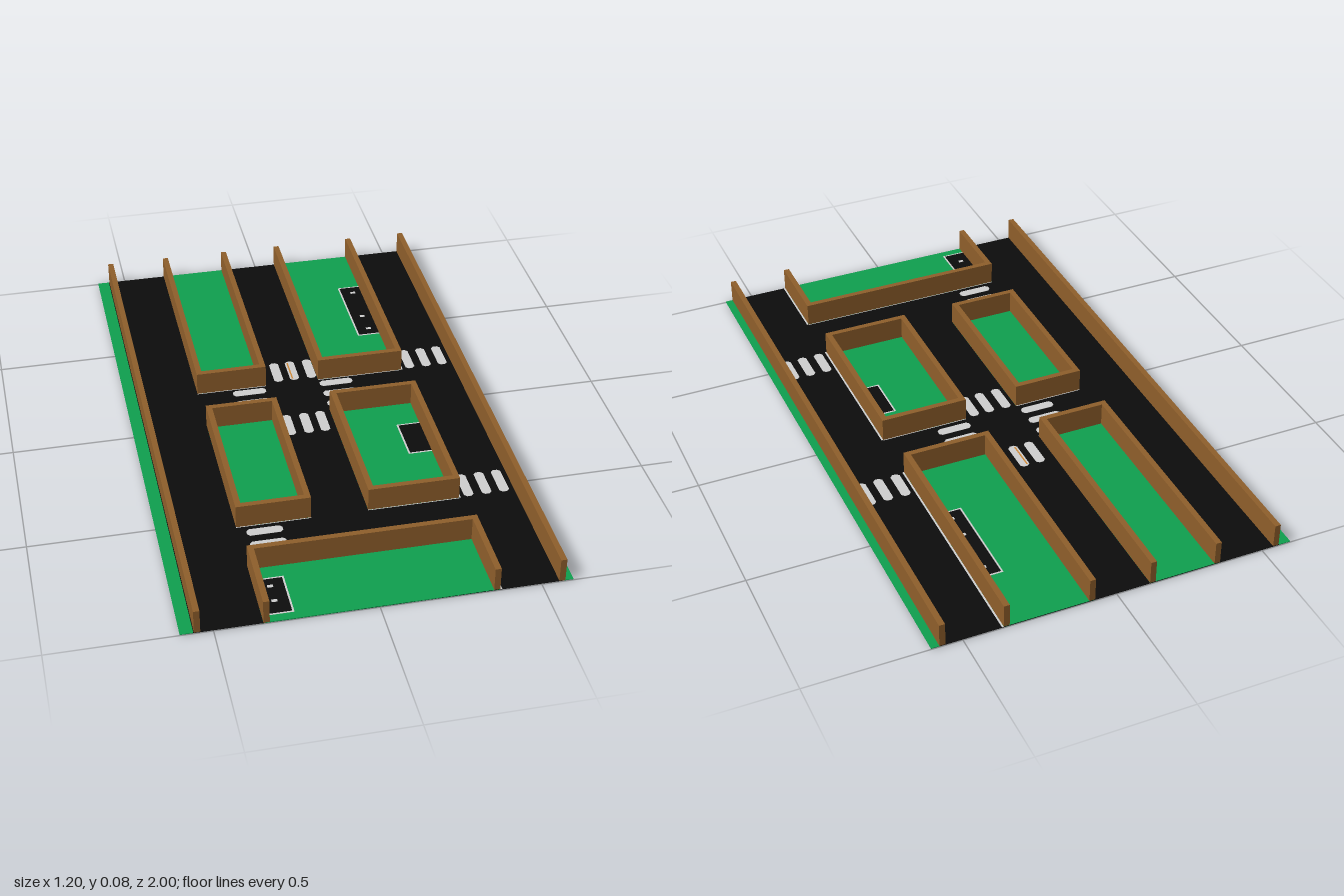
import * as THREE from 'three';

export function createModel() {
  const model = new THREE.Group();
  const mat = (name, color) => {
    const m = new THREE.MeshStandardMaterial({ color });
    m.name = name;
    return m;
  };
  const asphalt = mat('asphalt', 0x0c0c0c);
  const grass = mat('grass', 0x0fa04f);
  const brown = mat('wall brown', 0x8f5f2b);
  const paint = mat('road paint', 0xcfcfcf);
  const orange = mat('orange paint', 0xd08a3a);
  const MID = 0.003, TOP = 0.083, T = 0.019;

  const box = (name, material, x0, x1, y0, y1, z0, z1) => {
    const mesh = new THREE.Mesh(new THREE.BoxGeometry(x1 - x0, y1 - y0, z1 - z0), material);
    mesh.position.set((x0 + x1) / 2, (y0 + y1) / 2, (z0 + z1) / 2);
    mesh.name = name;
    model.add(mesh);
    return mesh;
  };
  // Thin plate around the ground plane; thicker plates show over thinner ones on both sides
  const plate = (name, material, half, x0, x1, z0, z1) =>
    box(name, material, x0, x1, MID - half, MID + half, z0, z1);
  const wall = (name, x0, x1, z0, z1) => box(name, brown, x0, x1, MID, TOP, z0, z1);

  // Road and side verges
  plate('road', asphalt, 0.001, -0.56, 0.57, -1, 1);
  plate('rightVerge', grass, 0.001, -0.6, -0.56, -1, 1);
  plate('leftVerge', grass, 0.001, 0.57, 0.6, -1, 1);
  wall('rightOuterWall', -0.558, -0.539, -1, 1);
  wall('leftOuterWall', 0.555, 0.574, -1, 1);

  // Walled lawns; those at the map border stay open there
  const lawns = [
    [-0.352, -0.112, -1, -0.203],
    [0.072, 0.37, -1, -0.203],
    [-0.352, -0.112, -0.016, 0.545],
    [0.072, 0.37, -0.016, 0.545],
    [-0.352, 0.37, 0.735, 1],
  ];
  for (const [x0, x1, z0, z1] of lawns) {
    plate('lawn', grass, 0.0015, x0, x1, z0, z1);
    wall('lawnSideWall', x0, x0 + T, z0, z1);
    wall('lawnSideWall', x1 - T, x1, z0, z1);
    if (z0 > -1) wall('lawnBackWall', x0 + T, x1 - T, z0, z0 + T);
    if (z1 < 1) wall('lawnFrontWall', x0 + T, x1 - T, z1 - T, z1);
    // Pale kerb lines
    const k = 0.006;
    if (x1 > 0.3) plate('kerbLine', paint, 0.0012, x1, x1 + k, z0, z1);
    if (z0 > -1) plate('kerbLine', paint, 0.0012, x0, x1, z0 - k / 2, z0);
    if (z1 < 1) plate('kerbLine', paint, 0.0012, x0, x1, z1, z1 + k / 2);
  }

  // Parking lots with pale borders and small marks
  const lots = [
    [0.272, 0.351, -0.778, -0.445, [[0.32, -0.735], [0.317, -0.57], [0.32, -0.485]]],
    [0.272, 0.351, 0.118, 0.285, []],
    [-0.333, -0.253, 0.805, 0.972, [[-0.302, 0.845], [-0.302, 0.912]]],
  ];
  for (const [x0, x1, z0, z1, marks] of lots) {
    plate('parkingBorder', paint, 0.002, x0, x1, z0, z1);
    const b = 0.006, left = x0 > 0;
    plate('parkingLot', asphalt, 0.0025, left ? x0 + b : x0, left ? x1 : x1 - b, z0 + b, z1 - b);
    for (const [x, z] of marks) plate('parkingMark', paint, 0.003, x - 0.009, x + 0.009, z - 0.006, z + 0.006);
  }

  // Crossing stripes: thin plates with clipped corners
  const stripe = (x, z, length, turned) => {
    const w = 0.016, h = length / 2, c = 0.009;
    const shape = new THREE.Shape([
      [-w + c, -h], [w - c, -h], [w, -h + c], [w, h - c],
      [w - c, h], [-w + c, h], [-w, h - c], [-w, -h + c],
    ].map(([a, b]) => new THREE.Vector2(a, b)));
    const geo = new THREE.ExtrudeGeometry(shape, { depth: 0.004, bevelEnabled: false });
    geo.translate(0, 0, -0.002).rotateX(-Math.PI / 2);
    if (turned) geo.rotateY(Math.PI / 2);
    const mesh = new THREE.Mesh(geo, paint);
    mesh.position.set(x, MID, z);
    mesh.name = 'crossingStripe';
    model.add(mesh);
  };
  // Stripes running along z: x positions, centre z
  const along = [
    [[-0.062, -0.006, 0.055], -0.275],
    [[-0.082, -0.021, 0.035], 0.043],
    [[0.405, 0.465, 0.523], -0.262],
    [[0.405, 0.465, 0.523], 0.486],
  ];
  for (const [xs, z] of along) for (const x of xs) stripe(x, z, 0.115, false);
  // Stripes running along x: centre x, z positions
  const across = [
    [-0.175, [-0.175, -0.113, -0.053]],
    [0.13, [-0.175, -0.113, -0.053]],
    [-0.267, [0.58, 0.642, 0.7]],
  ];
  for (const [x, zs] of across) for (const z of zs) stripe(x, z, 0.115, true);
  plate('orangeLine', orange, 0.0025, -0.016, -0.011, -0.325, -0.225);

  return model;
}
